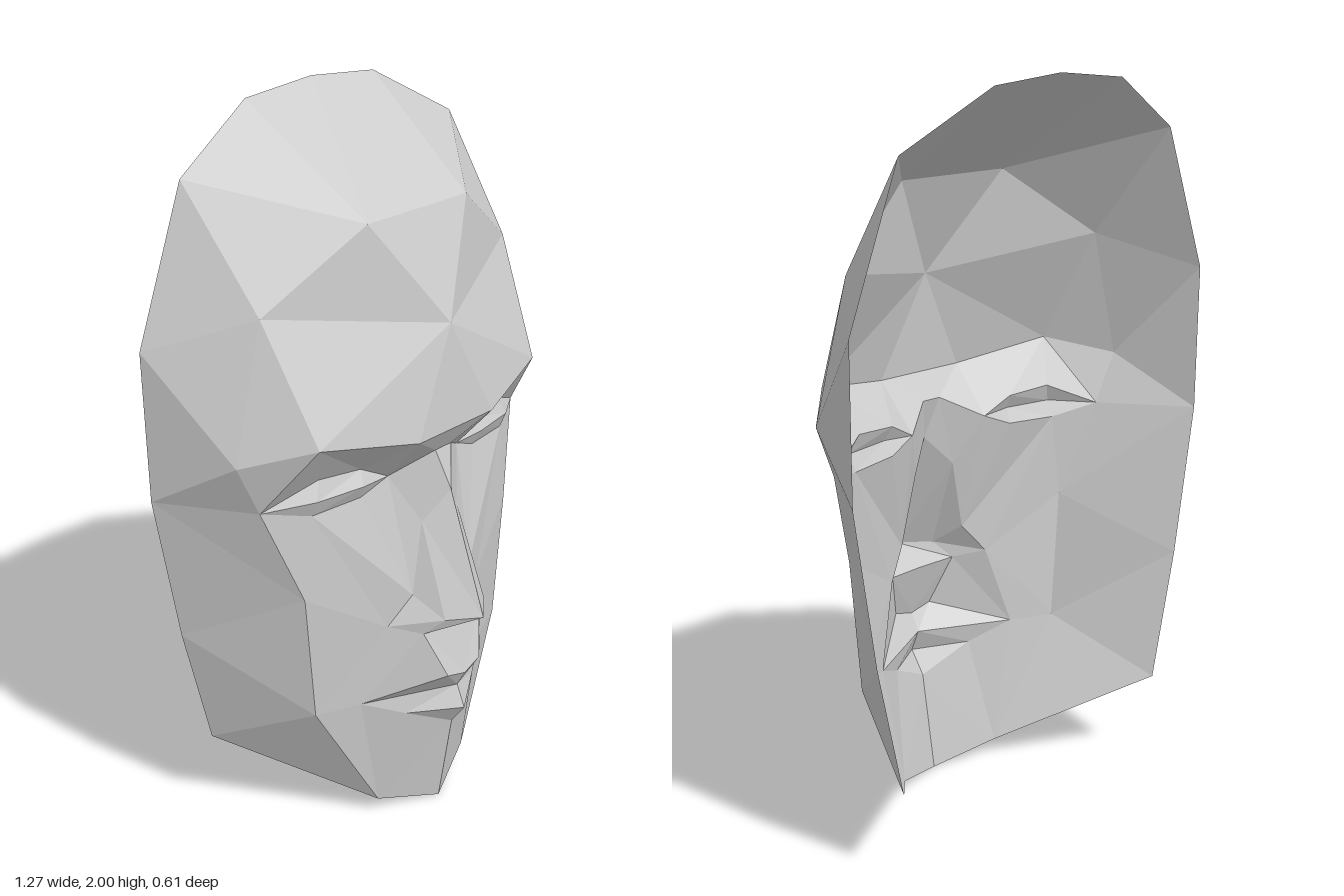
import * as THREE from 'three';

// Landmarks of the model's left half (x >= 0); the right half is mirrored.
const rim = [ // open edge, from crown to chin
  [0, 2, -0.305], [0.225, 1.98, -0.305], [0.48, 1.84, -0.26], [0.635, 1.45, -0.26], [0.635, 1.05, -0.26],
  [0.57, 0.63, -0.26], [0.49, 0.265, -0.26], [0.18, 0.05, 0.08], [0, 0, 0.15],
];
const forehead = { mid: [0, 1.73, 0.06], upper: [0.18, 1.73, 0.06], centre: [0, 1.46, 0.17], temple: [0.45, 1.54, -0.035] };
const brow = [[0, 1.185, 0.195], [0.14, 1.185, 0.195], [0.41, 1.23, 0.115], [0.55, 1.185, -0.03]];
const eye = {
  inner: [0.135, 1.055, 0.08], outer: [0.49, 1.045, -0.02],
  fold: [[0.22, 1.1, 0.065], [0.35, 1.11, 0.045]],
  lid: [[0.23, 1.06, 0.085], [0.37, 1.06, 0.06]],
  lower: [[0.22, 1.02, 0.065], [0.37, 1.015, 0.04]],
};
const nose = {
  root: [0, 1.115, 0.15], rootSide: [0.03, 1.115, 0.15], bridge: [0, 1, 0.18], side: [0.07, 0.92, 0.14],
  tip: [0, 0.66, 0.3], tipSide: [0.08, 0.66, 0.235], wing: [0.115, 0.72, 0.15], wingBase: [0.18, 0.638, 0.12],
  base: [0, 0.615, 0.195], baseSide: [0.115, 0.615, 0.19],
};
const cheek = { upper: [0.4, 0.78, 0.037], lower: [0.37, 0.41, 0.033] };
const mouth = {
  top: [0, 0.46, 0.24], peak: [0.065, 0.478, 0.235], line: [0, 0.41, 0.213], corner: [0.25, 0.41, 0.085],
  lowSide: [0.14, 0.355, 0.15], low: [0, 0.345, 0.24], below: [0, 0.28, 0.195],
};

// Triangles around a hub, ring counter-clockwise from outside
const fan = (hub, ...ring) => ring.slice(1).map((p, i) => [hub, ring[i], p]);
// Zigzag strip of triangles, starting left, then bottom, then top
const strip = (...p) => p.slice(2).map((c, i) => (i % 2 ? [p[i + 1], p[i], c] : [p[i], p[i + 1], c]));

const material = new THREE.MeshStandardMaterial({ color: 0xcccccc, flatShading: true, side: THREE.DoubleSide });

// One faceted mesh from half the triangles plus their mirror images
function mirroredPart(name, triangles) {
  const flip = ([x, y, z]) => [-x, y, z];
  const all = triangles.flatMap(([a, b, c]) => [a, b, c, flip(a), flip(c), flip(b)]);
  const geometry = new THREE.BufferGeometry();
  geometry.setAttribute('position', new THREE.Float32BufferAttribute(all.flat(), 3));
  geometry.computeVertexNormals();
  const mesh = new THREE.Mesh(geometry, material);
  mesh.name = name;
  return mesh;
}

export function createModel() {
  const f = forehead, n = nose, m = mouth, c = cheek;
  const parts = {
    forehead: [
      ...fan(f.upper, f.temple, rim[2], rim[1], rim[0], f.mid, f.centre, f.temple),
      ...fan(f.temple, f.centre, brow[2], brow[3], rim[3], rim[2]),
      ...fan(f.centre, brow[0], brow[1], brow[2]),
    ],
    browUnderside: [
      ...fan(brow[1], brow[0], n.root, n.rootSide, eye.inner, eye.fold[0], brow[2]),
      ...fan(brow[2], eye.fold[0], eye.fold[1], eye.outer, brow[3]),
    ],
    eyelids: [
      ...strip(eye.inner, eye.lid[0], eye.fold[0], eye.lid[1], eye.fold[1], eye.outer),
      ...strip(eye.inner, eye.lower[0], eye.lid[0], eye.lower[1], eye.lid[1], eye.outer),
    ],
    nose: [
      [n.root, n.bridge, n.rootSide],
      ...fan(n.side, eye.inner, n.rootSide, n.bridge, n.tip, n.tipSide, n.wing),
      ...fan(n.tipSide, n.tip, n.baseSide, n.wingBase, n.wing),
      [n.tip, n.base, n.baseSide],
    ],
    cheeks: [
      ...fan(n.wing, n.wingBase, eye.lower[1], eye.lower[0], eye.inner, n.side),
      ...fan(n.wingBase, c.lower, c.upper, eye.lower[1]),
      [eye.lower[1], c.upper, eye.outer],
      ...fan(m.corner, rim[7], c.lower, n.wingBase),
    ],
    upperLip: [
      ...fan(n.baseSide, n.base, m.top, m.peak, m.corner, n.wingBase),
      ...fan(m.peak, m.top, m.line, m.corner),
    ],
    lowerLipAndChin: [
      ...fan(m.lowSide, m.corner, m.line, m.low, m.below, rim[7], m.corner),
      [m.below, rim[8], rim[7]],
    ],
    sidesAndJaw: [
      ...fan(rim[4], rim[3], brow[3], eye.outer, c.upper, rim[5]),
      ...fan(c.lower, rim[7], rim[6], rim[5], c.upper),
    ],
  };
  const group = new THREE.Group();
  group.name = 'faceMask';
  for (const [name, triangles] of Object.entries(parts)) group.add(mirroredPart(name, triangles));
  return group;
}
